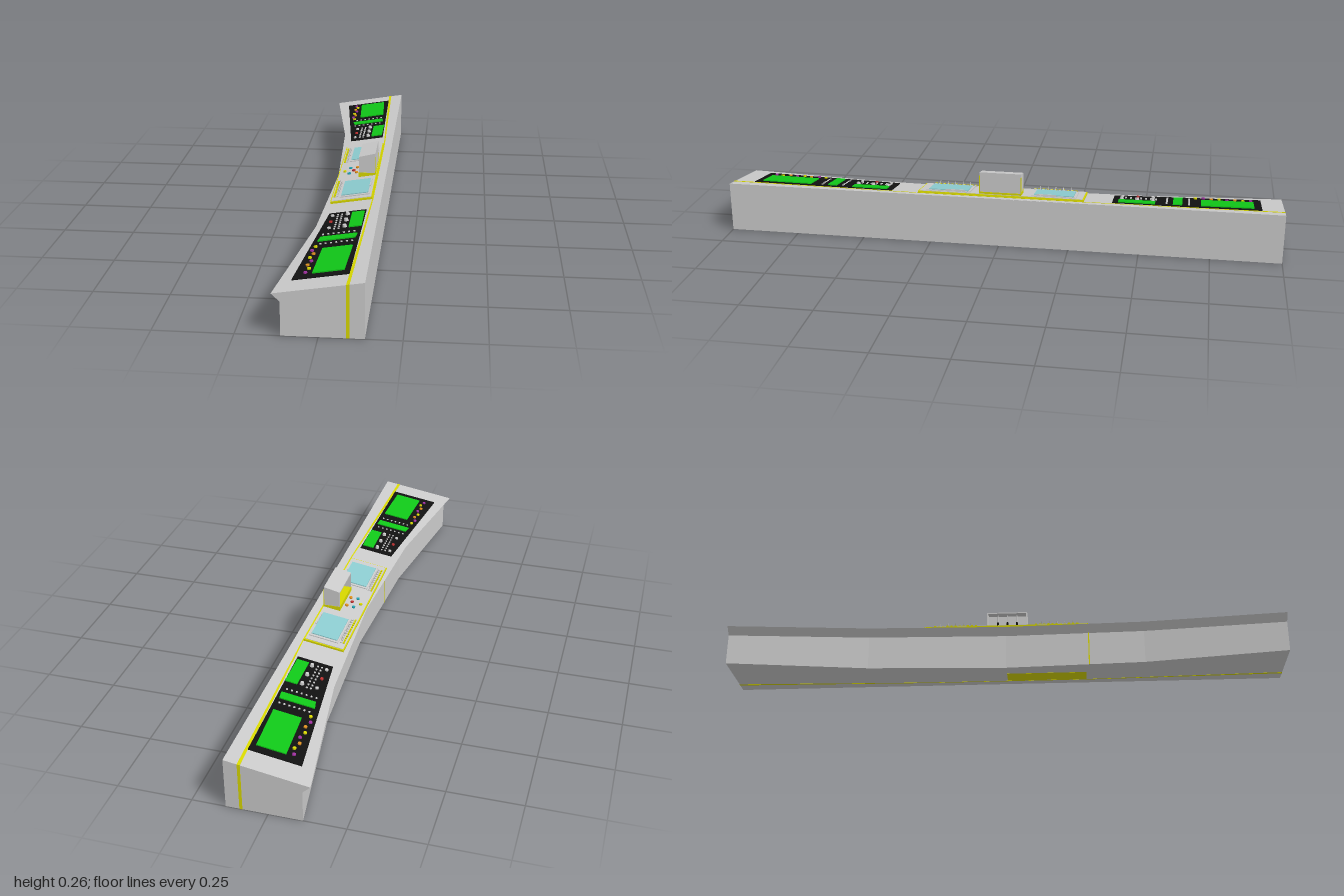
import * as THREE from 'three';

const mat = (color) => new THREE.MeshStandardMaterial({ color, flatShading: true });
const GREY = mat(0xcccccc), BLACK = mat(0x111111), GREEN = mat(0x10c818), YELLOW = mat(0xd8d800);
const CYAN = mat(0x8cccd0), RED = mat(0xc03030), PURPLE = mat(0xa030a0), ORANGE = mat(0xe09020), TEAL = mat(0x20a0b0);
const PALE = mat(0xf0f0f0);

const SLOPE = 0.163, DECK_Y = 0.1575;
const deckY = (x) => DECK_Y + SLOPE * x;

function add(parent, name, geometry, material, x = 0, y = 0, z = 0) {
  const m = new THREE.Mesh(geometry, material);
  m.name = name;
  m.position.set(x, y, z);
  parent.add(m);
  return m;
}

// Solid through counter-clockwise xy sections placed at rising z stations
function loft(stations, section) {
  const rings = stations.map((z) => section(z).map(([x, y]) => [x, y, z]));
  const pos = [], n = rings[0].length;
  const tri = (a, b, c) => pos.push(...a, ...b, ...c);
  for (let s = 0; s < rings.length - 1; s++) {
    for (let i = 0; i < n; i++) {
      const j = (i + 1) % n, A = rings[s], B = rings[s + 1];
      tri(A[i], A[j], B[j]);
      tri(A[i], B[j], B[i]);
    }
  }
  const first = rings[0], last = rings[rings.length - 1];
  const faces = THREE.ShapeUtils.triangulateShape(last.map(([x, y]) => new THREE.Vector2(x, y)), []);
  for (const [a, b, c] of faces) {
    tri(last[a], last[b], last[c]);
    tri(first[a], first[c], first[b]);
  }
  const g = new THREE.BufferGeometry();
  g.setAttribute('position', new THREE.Float32BufferAttribute(pos, 3));
  g.computeVertexNormals();
  return g;
}

// Flat plate from an xz outline between two heights
function plate(points, h0, h1) {
  const shape = new THREE.Shape(points.map(([x, z]) => new THREE.Vector2(x, -z)));
  return new THREE.ExtrudeGeometry(shape, { depth: h1 - h0, bevelEnabled: false })
    .rotateX(-Math.PI / 2).translate(0, h0, 0);
}
const rect = (x0, x1, z0, z1) => [[x0, z0], [x1, z0], [x1, z1], [x0, z1]];

const button = new THREE.CylinderGeometry(0.006, 0.006, 0.006, 10);
const dot = new THREE.CylinderGeometry(0.0035, 0.0035, 0.004, 8);
const knob = new THREE.CylinderGeometry(0.006, 0.008, 0.01, 12);
const key = new THREE.BoxGeometry(0.006, 0.005, 0.008);

// Side instrument panel; s chooses the end of the console
function sidePanel(s) {
  const g = new THREE.Group();
  g.name = s > 0 ? 'frontInstrumentPanel' : 'backInstrumentPanel';
  const flip = (pts) => pts.map(([x, z]) => [x, z * s]);
  add(g, 'panelBase', plate(flip([[-0.03, 0.4], [0.096, 0.4], [0.087, 0.922], [-0.088, 0.922]]), -0.002, 0.003), BLACK);
  add(g, 'mainScreen', plate(flip([[-0.018, 0.71], [0.078, 0.71], [0.07, 0.895], [-0.028, 0.895]]), 0, 0.007), GREEN);
  add(g, 'stripScreen', plate(flip([[-0.035, 0.612], [0.084, 0.612], [0.08, 0.645], [-0.042, 0.645]]), 0, 0.007), GREEN);
  add(g, 'smallScreen', plate(flip(rect(0.05, 0.092, 0.42, 0.55)), 0, 0.007), GREEN);
  // Coloured buttons beside the main screen
  const tints = [YELLOW, PURPLE, ORANGE];
  for (let i = 0; i < 8; i++) {
    const z = 0.69 + i * 0.028;
    add(g, 'button', button, tints[i % 3], -0.042 - (i % 2) * 0.008, 0.005, s * z);
  }
  // Indicator rows on both sides of the strip screen
  for (const z of [0.59, 0.668]) {
    for (let i = 0; i < 7; i++) add(g, 'indicator', dot, GREY, -0.03 + i * 0.017, 0.004, s * z);
  }
  // Knobs and key grid beside the small screen
  for (let i = 0; i < 3; i++) {
    const z = s * (0.43 + i * 0.055);
    add(g, 'knob', knob, GREY, 0.036, 0.007, z);
    add(g, 'selector', button, i === 1 ? RED : GREY, -0.016, 0.005, z);
  }
  for (let r = 0; r < 8; r++) {
    for (let c = 0; c < 2; c++) add(g, 'indicator', dot, GREY, 0.002 + c * 0.014, 0.004, s * (0.425 + r * 0.018));
  }
  return g;
}

// Tilted screen with its keyboard and toggles on the middle tray
function workstation(s) {
  const g = new THREE.Group();
  g.name = s > 0 ? 'frontWorkstation' : 'backWorkstation';
  add(g, 'screenBezel', plate(rect(-0.008, 0.098, 0.11, 0.272), 0, 0.003), GREY);
  add(g, 'screen', plate(rect(-0.002, 0.092, 0.12, 0.262), 0, 0.006), CYAN);
  for (let r = 0; r < 2; r++) {
    for (let c = 0; c < 11; c++) add(g, 'key', key, r ? GREY : YELLOW, -0.026 + r * 0.01, 0.002, 0.11 + c * 0.015);
  }
  // Small toggle levers
  for (let c = 0; c < 5; c++) {
    const lever = add(g, 'toggle', new THREE.CylinderGeometry(0.0015, 0.0015, 0.016, 6), GREY, -0.014, 0.008, 0.13 + c * 0.028);
    lever.rotation.z = 0.3;
  }
  add(g, 'gripBar', new THREE.BoxGeometry(0.004, 0.008, 0.07), GREY, 0.095, 0.004, 0.165);
  g.traverse((o) => { if (o.isMesh && s < 0) o.position.z *= -1; });
  // Plates carry their z in the geometry, so turn them over in place
  for (const o of g.children) {
    if (s < 0 && o.geometry.type === 'ExtrudeGeometry') o.position.z = -0.382;
  }
  return g;
}

export function createModel() {
  const model = new THREE.Group();
  model.name = 'controlConsole';

  // Long body with a bowed inner side and an overhanging lip
  const inner = (z) => {
    const a = Math.abs(z);
    return a < 0.5 ? -0.04 - a * 0.048 : -0.064 - (a - 0.5) * 0.148;
  };
  add(model, 'consoleBody', loft([-1, -0.5, 0, 0.5, 1], (z) => {
    const e = inner(z);
    return [[e + 0.026, 0], [0.138, 0], [0.138, deckY(0.138)], [e, deckY(e)], [e + 0.026, deckY(e) - 0.025]];
  }), GREY);
  add(model, 'outerAccessPlate', new THREE.BoxGeometry(0.001, 0.178, 0.29), PALE, 0.138, 0.09, -0.145);

  // Yellow seam around the body
  add(model, 'yellowSeam', loft([-1.0005, -0.3, 0.3, 1.0005], (z) => {
    const end = Math.abs(z) > 0.5, x = end ? 0.088 : 0.108, w = end ? 0.005 : 0.002;
    return [[x - w, -0.0005], [x + w, -0.0005], [x + w, deckY(x + w) + 0.0008], [x - w, deckY(x - w) + 0.0008]];
  }), YELLOW);
  add(model, 'undersidePlate', new THREE.BoxGeometry(0.064, 0.001, 0.29), YELLOW, 0.072, 0, 0.145);
  add(model, 'innerSeam', new THREE.BoxGeometry(0.003, 0.125, 0.004), YELLOW, -0.028, 0.0625, 0.3);

  // Everything lying on the sloping deck
  const deck = new THREE.Group();
  deck.name = 'deck';
  deck.position.y = DECK_Y;
  deck.rotation.z = Math.atan(SLOPE);
  model.add(deck);
  deck.add(sidePanel(1), sidePanel(-1));

  // Middle tray with a yellow rim
  add(deck, 'trayRim', plate(rect(-0.038, 0.108, -0.3, 0.3), -0.003, 0.007), YELLOW);
  add(deck, 'trayTop', plate(rect(-0.034, 0.104, -0.295, 0.295), 0, 0.009), GREY);
  const tray = new THREE.Group();
  tray.name = 'trayControls';
  tray.position.y = 0.009;
  deck.add(tray);
  tray.add(workstation(1), workstation(-1));
  [[0.004, -0.03, TEAL], [0.03, -0.03, ORANGE], [0.004, 0.03, TEAL], [0.03, 0.025, ORANGE], [0.018, 0, RED], [-0.015, 0, YELLOW]]
    .forEach(([x, z, m]) => add(tray, 'trayButton', button, m, x, 0.002, z));

  // Upright housing, open toward the operator
  const housing = new THREE.Group();
  housing.name = 'housing';
  model.add(housing);
  const roof = (x) => 0.249 + (x - 0.041) * 0.24;
  const wall = (z0, z1) => loft([z0, z1], () => [[0.041, 0.17], [0.1, 0.17], [0.1, roof(0.1)], [0.041, roof(0.041)]]);
  add(housing, 'sideWall', wall(0.071, 0.075), GREY);
  add(housing, 'sideWall', wall(-0.075, -0.071), GREY);
  add(housing, 'backWall', loft([-0.071, 0.071], () => [[0.096, 0.17], [0.1, 0.17], [0.1, roof(0.1)], [0.096, roof(0.096)]]), GREY);
  add(housing, 'roof', loft([-0.071, 0.071], () => [[0.041, roof(0.041) - 0.004], [0.1, roof(0.1) - 0.004], [0.1, roof(0.1)], [0.041, roof(0.041)]]), GREY);
  add(housing, 'housingBase', new THREE.BoxGeometry(0.061, 0.02, 0.152), YELLOW, 0.0705, 0.18, 0);
  for (const s of [-1, 1]) add(housing, 'edgeTrim', new THREE.BoxGeometry(0.002, 0.062, 0.003), YELLOW, 0.1, 0.22, s * 0.0745);
  // Hanging handles inside the housing
  for (let i = -1; i <= 1; i++) {
    add(housing, 'handleStem', new THREE.CylinderGeometry(0.002, 0.002, 0.04, 8), GREY, 0.07, 0.23, i * 0.035);
    add(housing, 'handleGrip', new THREE.CylinderGeometry(0.004, 0.004, 0.018, 8), BLACK, 0.07, 0.212, i * 0.035);
  }
  return model;
}
